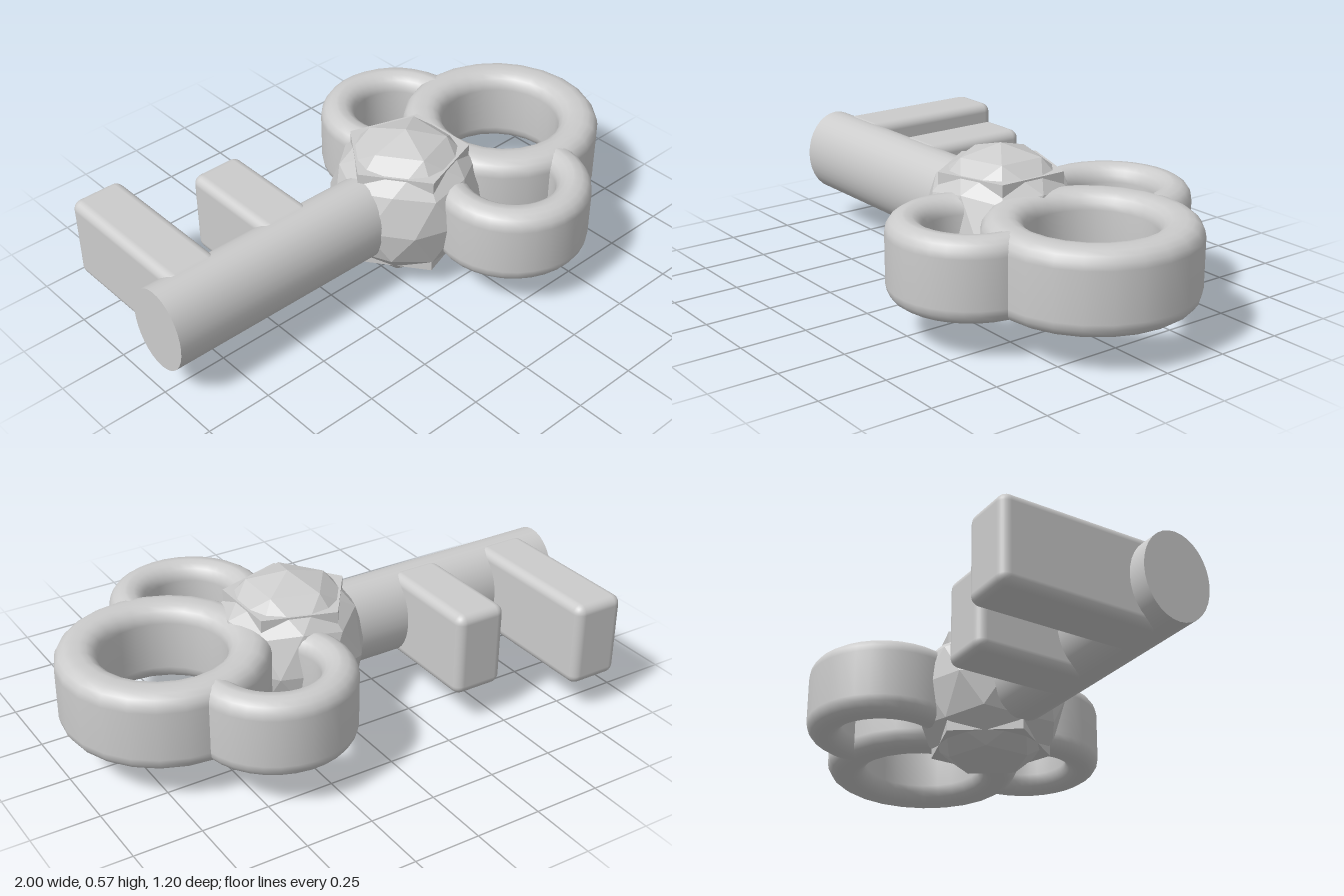
import * as THREE from 'three';
import { RoundedBoxGeometry } from 'three/addons/geometries/RoundedBoxGeometry.js';

const MID = 0.285; // height of the key's centre plane
const smooth = new THREE.MeshStandardMaterial({ color: 0xcccccc });
const faceted = new THREE.MeshStandardMaterial({ color: 0xcccccc, flatShading: true });

function add(group, name, geometry, material, x, z = 0) {
  const mesh = new THREE.Mesh(geometry, material);
  mesh.name = name;
  mesh.position.set(x, MID, z);
  group.add(mesh);
  return mesh;
}

// Ring with a rounded-rectangle section, swept around y
function ringGeometry(inner, outer, height, start = 0, sweep = Math.PI * 2) {
  const r = 0.06, h = height / 2, q = Math.PI / 2;
  const points = [new THREE.Vector2(inner, 0)];
  const corners = [
    [inner + r, -h + r, 2], [outer - r, -h + r, 3],
    [outer - r, h - r, 0], [inner + r, h - r, 1],
  ];
  for (const [cx, cy, quarter] of corners) {
    for (let i = 0; i <= 4; i++) {
      const a = (quarter + i / 4) * q;
      points.push(new THREE.Vector2(cx + r * Math.cos(a), cy + r * Math.sin(a)));
    }
  }
  points.push(new THREE.Vector2(inner, 0));
  return new THREE.LatheGeometry(points, 24, start, sweep);
}

export function createModel() {
  const key = new THREE.Group();
  key.name = 'key';

  // Shaft, slightly taller than it is wide
  const shaft = new THREE.CylinderGeometry(1, 1, 1.08, 32);
  shaft.rotateZ(Math.PI / 2).scale(1, 0.162, 0.131);
  add(key, 'shaft', shaft, smooth, -0.46);

  // Two teeth reaching backwards
  for (const [name, x, reach] of [['longTooth', -0.825, 0.605], ['shortTooth', -0.422, 0.44]]) {
    add(key, name, new RoundedBoxGeometry(0.203, 0.322, reach, 3, 0.035), smooth, x, -reach / 2);
  }

  // Five-sided hub with a corner towards the shaft
  const hub = new THREE.CylinderGeometry(0.233, 0.233, 0.396, 5);
  hub.rotateY(-Math.PI / 2);
  add(key, 'hub', hub, faceted, 0.12);

  // Faceted gem showing above and below the hub, standing on a corner
  const gem = new THREE.IcosahedronGeometry(0.285, 1);
  gem.rotateZ(Math.atan(2 / (1 + Math.sqrt(5))));
  add(key, 'gem', gem, faceted, 0.12);

  // Large ring of the bow
  add(key, 'largeRing', ringGeometry(0.225, 0.375, 0.3), smooth, 0.62);

  // Small side rings, open where they run into the large ring
  const gap = THREE.MathUtils.degToRad(47);
  for (const side of [-1, 1]) {
    const towards = Math.atan2(0.26, -side * 0.31);
    const geometry = ringGeometry(0.16, 0.29, 0.296, towards + gap, Math.PI * 2 - 2 * gap);
    add(key, side < 0 ? 'backSmallRing' : 'frontSmallRing', geometry, smooth, 0.36, side * 0.31);
  }
  return key;
}
